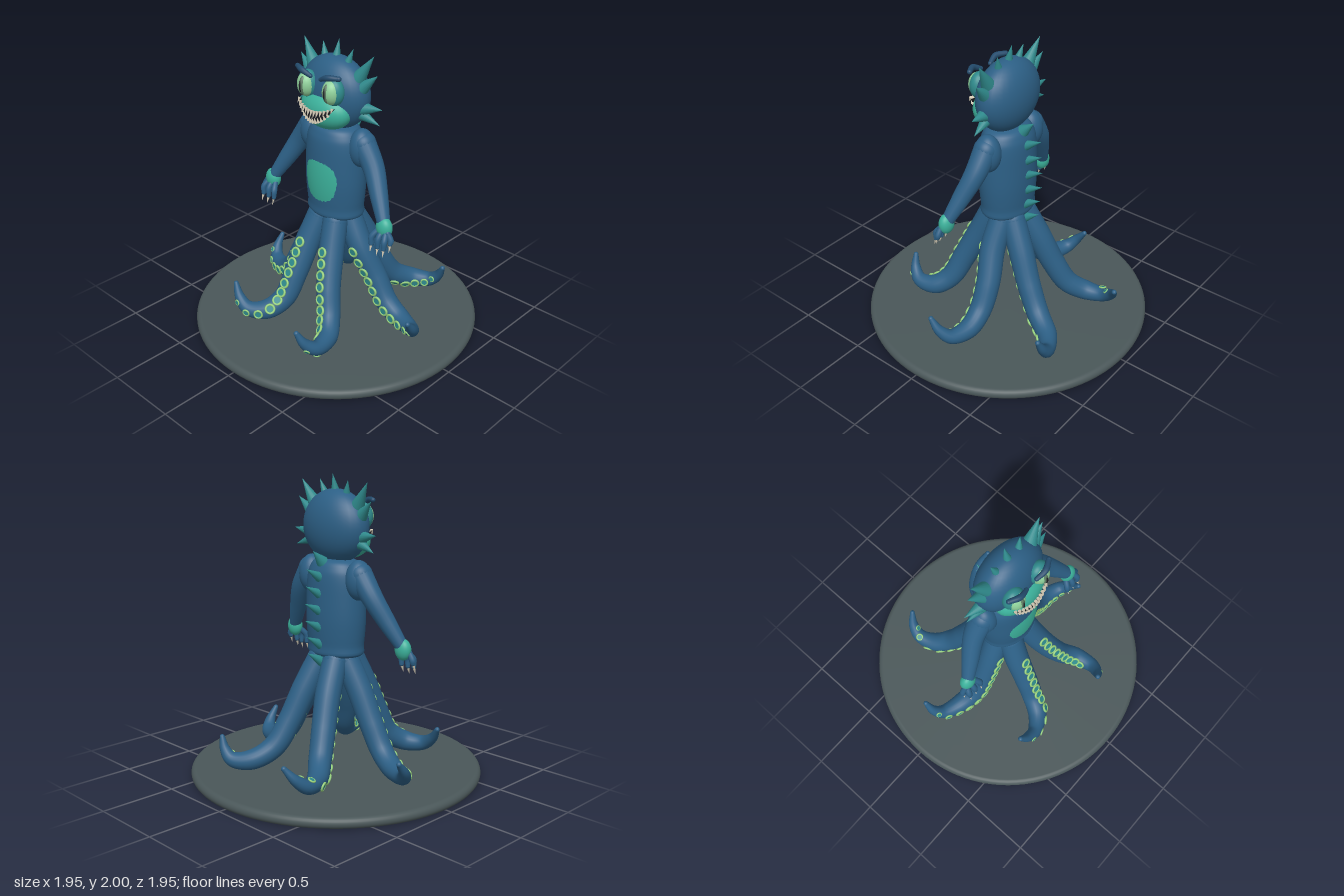
import * as THREE from 'three';

const mat = (name, color, side = THREE.FrontSide) => {
  const m = new THREE.MeshStandardMaterial({ color, side });
  m.name = name;
  return m;
};
const V = (x, y, z) => new THREE.Vector3(x, y, z);
const UP = V(0, 1, 0);

export function createModel() {
  const skin = mat('skin blue', 0x2c5f85);
  const teal = mat('belly teal', 0x3bb09a);
  const spine = mat('spine teal', 0x2f8a8c);
  const brow = mat('brow blue', 0x234b6c);
  const eyeGreen = mat('eye green', 0x8fd09a);
  const iris = mat('iris grey green', 0x5c7a62);
  const dark = mat('mouth black', 0x1d1f24, THREE.DoubleSide);
  const bone = mat('tooth bone', 0xd9d0ba);
  const sucker = mat('sucker green', 0x95cf7c);
  const stone = mat('stone grey', 0x4a5759);

  const root = new THREE.Group();
  root.name = 'creature';
  const group = (name, parent = root) => {
    const g = new THREE.Group();
    g.name = name;
    parent.add(g);
    return g;
  };
  const add = (parent, name, geo, material) => {
    const m = new THREE.Mesh(geo, material);
    m.name = name;
    parent.add(m);
    return m;
  };
  const ball = (parent, name, material, c, r) => {
    const m = add(parent, name, new THREE.SphereGeometry(1, 32, 24), material);
    m.position.set(...c);
    m.scale.set(...r);
    return m;
  };
  // Cone from point a to tip b
  const spike = (parent, name, material, a, b, r, sides = 16) => {
    const d = b.clone().sub(a);
    const m = add(parent, name, new THREE.ConeGeometry(r, d.length(), sides), material);
    m.position.copy(a).add(b).multiplyScalar(0.5);
    m.quaternion.setFromUnitVectors(UP, d.normalize());
    return m;
  };
  const radiusAt = (radii, t) => {
    const f = t * (radii.length - 1), i = Math.min(Math.floor(f), radii.length - 2);
    return THREE.MathUtils.lerp(radii[i], radii[i + 1], f - i);
  };
  // Tapered tube through points, with round ends
  const limb = (parent, name, material, pts, radii, segs = 48, sides = 18) => {
    const curve = new THREE.CatmullRomCurve3(pts);
    const geo = new THREE.TubeGeometry(curve, segs, 1, sides);
    const p = geo.attributes.position, v = V(0, 0, 0);
    for (let i = 0; i < p.count; i++) {
      const u = Math.floor(i / (sides + 1)) / segs;
      const c = curve.getPointAt(u);
      v.fromBufferAttribute(p, i).sub(c).multiplyScalar(radiusAt(radii, curve.getUtoTmapping(u))).add(c);
      p.setXYZ(i, v.x, v.y, v.z);
    }
    add(parent, name, geo, material);
    [0, radii.length - 1].forEach(k =>
      ball(parent, name + 'End', material, pts[k].toArray(), Array(3).fill(radii[k])));
    return curve;
  };
  const lathe = pts => new THREE.LatheGeometry(
    new THREE.SplineCurve(pts.map(q => new THREE.Vector2(...q))).getPoints(40), 64);

  // Round display base
  const rim = [[0, 0], [0.94, 0]].map(q => new THREE.Vector2(...q));
  for (let i = 1; i <= 12; i++) {
    const a = -Math.PI / 2 + Math.PI * i / 12;
    rim.push(new THREE.Vector2(0.94 + 0.035 * Math.cos(a), 0.035 + 0.035 * Math.sin(a)));
  }
  rim.push(new THREE.Vector2(0, 0.07));
  add(root, 'base', new THREE.LatheGeometry(rim, 96), stone);

  // Torso and belly
  const torso = add(root, 'torso', lathe([[0, 0.82], [0.19, 0.825], [0.207, 0.9], [0.22, 1.05], [0.218, 1.2],
    [0.21, 1.33], [0.19, 1.4], [0.14, 1.45], [0, 1.47]]), skin);
  torso.scale.z = 0.77;
  ball(root, 'belly', teal, [0, 1.1, 0.08], [0.165, 0.325, 0.095]);

  // Spines down the back
  const backSpines = group('backSpines');
  [-0.205, -0.265, -0.27, -0.28, -0.28, -0.265, -0.255].forEach((z, i) => {
    const y = 1.52 - 0.11 * i;
    spike(backSpines, 'backSpine', spine, V(0, y - 0.075, -0.125), V(0, y, z), 0.04);
  });

  // Head, muzzle and crown of spines
  const head = group('head');
  ball(head, 'skull', skin, [0, 1.665, 0], [0.26, 0.24, 0.157]);
  ball(head, 'muzzle', teal, [0, 1.57, 0.09], [0.195, 0.125, 0.115]);
  spike(head, 'crownSpine', spine, V(0, 1.87, 0), V(0, 2, -0.03), 0.032);
  for (const s of [-1, 1]) {
    // base x, base y, tip x, tip y, radius
    [[0.09, 1.85, 0.127, 1.963, 0.032], [0.185, 1.79, 0.296, 1.957, 0.05], [0.22, 1.74, 0.328, 1.84, 0.045],
      [0.23, 1.61, 0.37, 1.63, 0.043], [0.21, 1.57, 0.354, 1.52, 0.04]].forEach(([bx, by, tx, ty, r]) =>
      spike(head, 'crownSpine', spine, V(s * bx, by, 0), V(s * tx, ty, -0.02), r));

    // Eyes and angry brows
    const eye = group(s > 0 ? 'leftEye' : 'rightEye', head);
    ball(eye, 'eyeRim', spine, [s * 0.11, 1.725, 0.135], [0.073, 0.09, 0.058]);
    ball(eye, 'eyeball', eyeGreen, [s * 0.108, 1.725, 0.15], [0.062, 0.08, 0.062]);
    ball(eye, 'iris', iris, [s * 0.103, 1.725, 0.185], [0.024, 0.062, 0.032]);
    ball(eye, 'pupil', dark, [s * 0.103, 1.725, 0.19], [0.012, 0.05, 0.032]);
    limb(head, 'brow', brow, [V(s * 0.045, 1.8, 0.18), V(s * 0.11, 1.828, 0.19), V(s * 0.175, 1.83, 0.16)],
      [0.014, 0.02, 0.016], 16, 12);
  }

  // Grinning mouth: a curved crescent with two rows of teeth
  const topY = x => 1.59 + 1.9 * x * x;
  const lowY = x => 1.52 + 4.8 * x * x;
  const mouthZ = x => 0.215 - 1.8 * x * x;
  const mouth = new THREE.PlaneGeometry(0.31, 1, 32, 2);
  const mp = mouth.attributes.position;
  for (let i = 0; i < mp.count; i++) {
    const x = mp.getX(i);
    mp.setXYZ(i, x, THREE.MathUtils.lerp(lowY(x), topY(x), mp.getY(i) + 0.5), mouthZ(x));
  }
  mouth.computeVertexNormals();
  add(head, 'mouth', mouth, dark);
  const teeth = group('teeth', head);
  for (let i = -6; i <= 6; i++) {
    const x = i * 0.0235, z = mouthZ(x) + 0.008;
    const len = 0.045 - 0.0022 * Math.abs(i);
    spike(teeth, 'upperTooth', bone, V(x, topY(x) + 0.008, z - 0.004), V(x, topY(x) + 0.008 - len, z + 0.012), 0.011, 10);
    const lx = (i + 0.5) * 0.021;
    if (i < 6) spike(teeth, 'lowerTooth', bone, V(lx, lowY(lx) - 0.004, mouthZ(lx) + 0.003),
      V(lx, lowY(lx) + len - 0.008, mouthZ(lx) + 0.014), 0.01, 10);
  }

  // Arms, hands and claws
  for (const s of [-1, 1]) {
    const arm = group(s > 0 ? 'leftArm' : 'rightArm');
    ball(arm, 'shoulder', skin, [s * 0.215, 1.335, -0.01], [0.085, 0.13, 0.09]);
    limb(arm, 'armLimb', skin, [V(s * 0.23, 1.37, -0.01), V(s * 0.325, 1.235, 0), V(s * 0.415, 1.08, 0.045),
      V(s * 0.495, 0.94, 0.09)], [0.08, 0.07, 0.058, 0.042]);
    ball(arm, 'hand', teal, [s * 0.505, 0.915, 0.095], [0.058, 0.07, 0.046]);
    [[-0.058, 0.8], [-0.005, 0.795], [0.045, 0.8], [0.068, 0.83]].forEach(([dx, y], i) => {
      const x = s * (0.505 + dx), z = i === 3 ? 0.11 : 0.145;
      limb(arm, 'finger', skin, [V(s * (0.505 + dx * 0.6), 0.895, 0.11), V(x, 0.85, z), V(x, y, z + 0.005)],
        [0.02, 0.021, 0.015], 12, 12);
      spike(arm, 'claw', bone, V(x, y, z + 0.005), V(x + s * 0.004, y - 0.055, z + 0.02), 0.012, 12);
    });
  }

  // Six tentacles: shared heights and thickness, own path over the ground
  const heights = [0.79, 0.6, 0.39, 0.22, 0.145, 0.14, 0.195, 0.27];
  const radii = [0.085, 0.085, 0.08, 0.075, 0.068, 0.05, 0.035, 0.017];
  const paths = {
    leftTentacle: [[0.1, -0.03], [0.2, -0.03], [0.3, -0.07], [0.4, -0.08], [0.52, -0.08], [0.65, -0.04], [0.7, 0.02], [0.71, 0.08]],
    frontLeftTentacle: [[0.07, 0.08], [0.11, 0.16], [0.17, 0.25], [0.24, 0.32], [0.31, 0.41], [0.335, 0.54], [0.3, 0.61], [0.26, 0.64]],
    frontRightTentacle: [[-0.07, 0.08], [-0.1, 0.17], [-0.12, 0.27], [-0.145, 0.36], [-0.21, 0.47], [-0.32, 0.54], [-0.4, 0.54], [-0.455, 0.52]],
    rightTentacle: [[-0.1, 0], [-0.2, 0.02], [-0.3, 0.03], [-0.4, 0.03], [-0.52, 0], [-0.65, -0.05], [-0.7, -0.1], [-0.71, -0.16]],
    backRightTentacle: [[-0.07, -0.08], [-0.11, -0.18], [-0.16, -0.27], [-0.22, -0.36], [-0.3, -0.46], [-0.34, -0.58], [-0.32, -0.66], [-0.27, -0.71]],
    backLeftTentacle: [[0.06, -0.09], [0.1, -0.19], [0.14, -0.29], [0.18, -0.4], [0.25, -0.53], [0.36, -0.61], [0.42, -0.62], [0.46, -0.61]],
  };
  for (const [name, path] of Object.entries(paths)) {
    const g = group(name);
    const curve = limb(g, 'tentacle', skin, path.map(([x, z], i) => V(x, heights[i], z)), radii, 64, 20);
    // Suckers along the front-facing side
    for (let i = 0; i < 11; i++) {
      const u = 0.195 + i * 0.069, c = curve.getPointAt(u), t = curve.getTangentAt(u);
      const r = radiusAt(radii, curve.getUtoTmapping(u));
      const n = V(0, 0, 1).addScaledVector(t, -t.z).normalize();
      const size = Math.min(0.029, r * 0.42);
      const cup = group('sucker', g);
      cup.position.copy(c).addScaledVector(n, r);
      cup.quaternion.setFromUnitVectors(V(0, 0, 1), n);
      add(cup, 'suckerRing', new THREE.TorusGeometry(size, size * 0.28, 8, 20), sucker);
      const disc = add(cup, 'suckerDisc', new THREE.CylinderGeometry(size, size, 0.008, 20), spine);
      disc.rotation.x = Math.PI / 2;
    }
  }
  return root;
}
